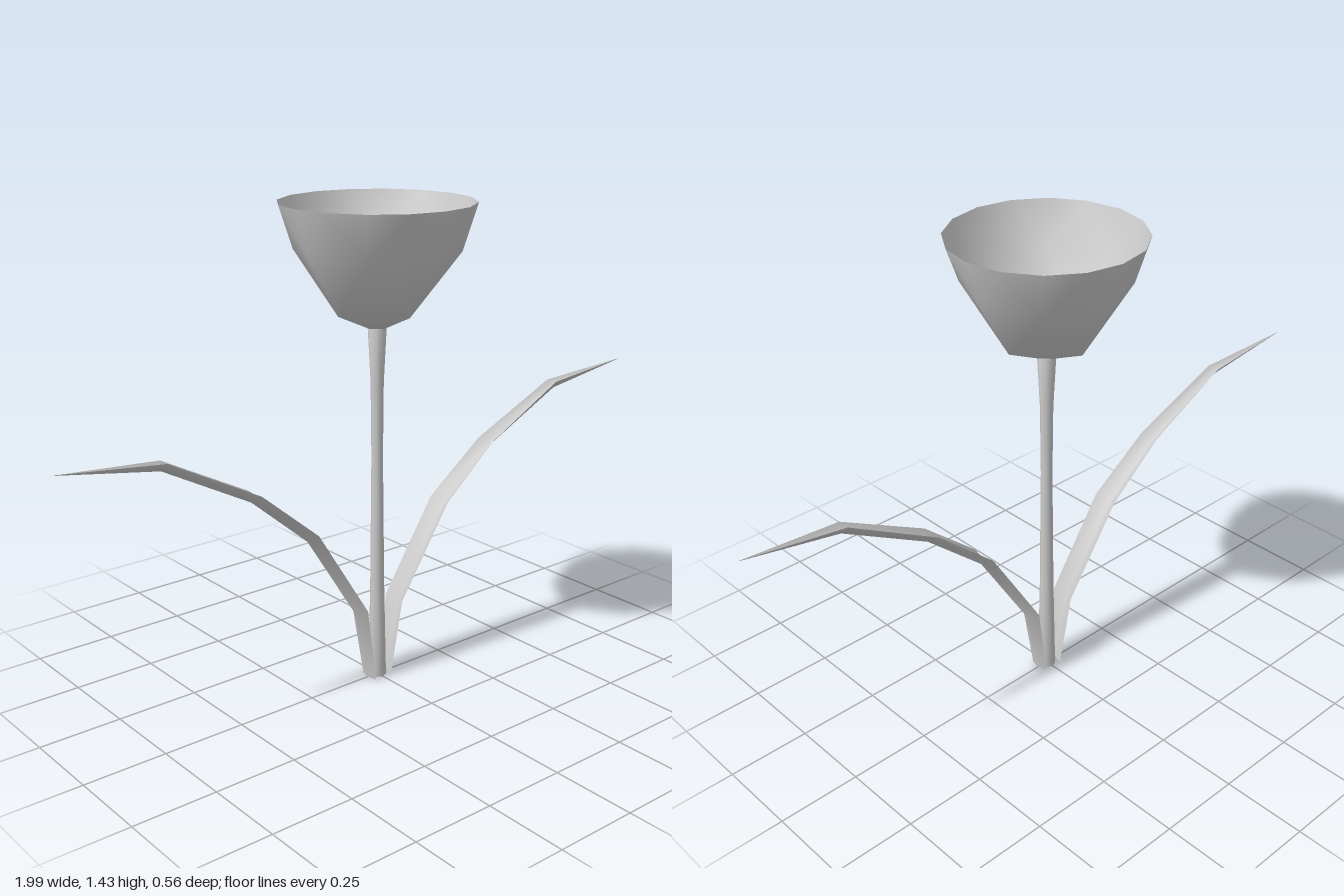
import * as THREE from 'three';

const material = new THREE.MeshStandardMaterial({ color: 0xcccccc, side: THREE.DoubleSide });

function surface(name, positions, index) {
  const geometry = new THREE.BufferGeometry();
  geometry.setAttribute('position', new THREE.Float32BufferAttribute(positions, 3));
  geometry.setIndex(index);
  geometry.computeVertexNormals();
  const mesh = new THREE.Mesh(geometry, material);
  mesh.name = name;
  return mesh;
}

// Cup of rings whose side count doubles towards the rim
function makeCup() {
  const rings = [
    { n: 4, r: 0.028, y: 1.08 },
    { n: 4, r: 0.14, y: 1.13 },
    { n: 8, r: 0.237, y: 1.3 },
    { n: 16, r: 0.279, y: 1.435 },
  ];
  const positions = [];
  const index = [];
  for (const ring of rings) {
    ring.start = positions.length / 3;
    for (let i = 0; i < ring.n; i++) {
      const a = (i / ring.n) * Math.PI * 2;
      positions.push(Math.sin(a) * ring.r, ring.y, Math.cos(a) * ring.r);
    }
  }
  for (let k = 0; k < rings.length - 1; k++) {
    const lo = rings[k];
    const hi = rings[k + 1];
    const step = hi.n / lo.n;
    for (let i = 0; i < lo.n; i++) {
      const a = lo.start + i;
      const b = lo.start + ((i + 1) % lo.n);
      const up = (j) => hi.start + ((i * step + j) % hi.n);
      // one triangle from the lower edge, the rest fan from its corners
      index.push(a, b, up(1));
      index.push(a, up(1), up(0));
      if (step === 2) index.push(b, up(2), up(1));
    }
  }
  return surface('flowerCup', positions, index);
}

// Slender stem, flared at both ends
function makeStem() {
  const profile = [
    [0, 0], [0.027, 0], [0.021, 0.3], [0.017, 0.7], [0.019, 0.92], [0.027, 1.08], [0, 1.085],
  ].map(([r, y]) => new THREE.Vector2(r, y));
  const mesh = new THREE.Mesh(new THREE.LatheGeometry(profile, 8), material);
  mesh.name = 'stem';
  return mesh;
}

// Arching leaf with a V fold: two raised edges and a crease below
function makeLeaf(name) {
  // edge x, edge y, crease x, crease y, centre z, half width
  const sections = [
    [0.03, 0, 0.038, 0, 0, 0.03],
    [0.063, 0.235, 0.077, 0.213, 0.004, 0.038],
    [0.235, 0.515, 0.248, 0.49, 0.013, 0.039],
    [0.415, 0.67, 0.43, 0.648, 0.022, 0.031],
    [0.69, 0.816, 0.7, 0.793, 0.035, 0.019],
    [0.995, 0.843, 0.995, 0.842, 0.045, 0.0005],
  ];
  const positions = [];
  const index = [];
  sections.forEach(([ex, ey, cx, cy, z, w], i) => {
    positions.push(ex, ey, z - w, cx, cy, z, ex, ey, z + w);
    if (i === 0) return;
    for (let j = 0; j < 2; j++) {
      const a = (i - 1) * 3 + j;
      index.push(a, a + 1, a + 4, a, a + 4, a + 3);
    }
  });
  return surface(name, positions, index);
}

export function createModel() {
  const group = new THREE.Group();
  group.name = 'flower';
  const leftLeaf = makeLeaf('leftLeaf');
  const rightLeaf = makeLeaf('rightLeaf');
  rightLeaf.rotation.y = Math.PI;
  group.add(makeStem(), makeCup(), leftLeaf, rightLeaf);
  return group;
}
